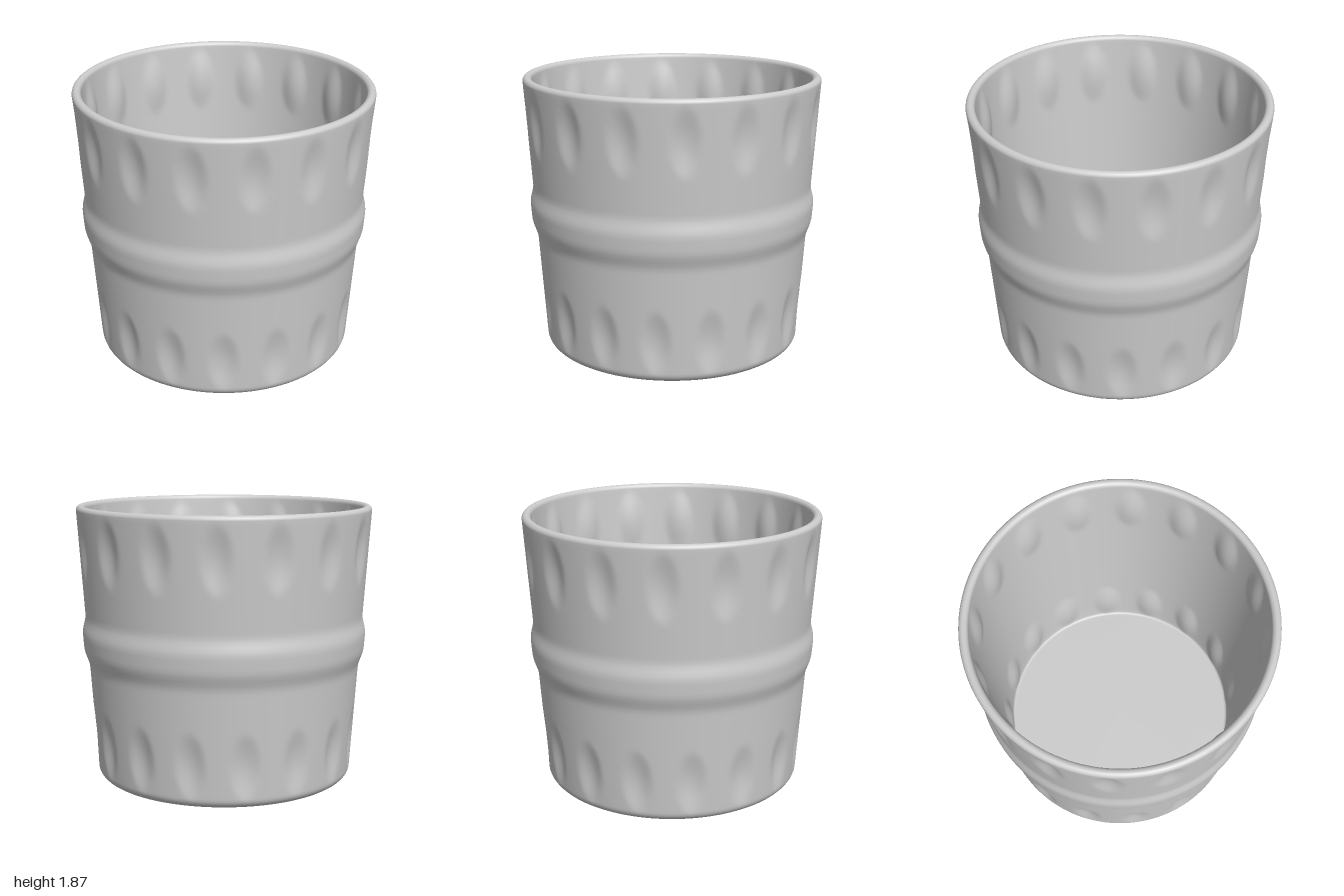
import * as THREE from 'three';
import { mergeVertices } from 'three/addons/utils/BufferGeometryUtils.js';

const HEIGHT = 1.87, WALL = 0.06, FLOOR = 0.06;
const COUNT = 16, STEP = (Math.PI * 2) / COUNT;
const smooth = THREE.MathUtils.smoothstep;

// Two staggered rows of oval dimples
const rows = [
  { y: 1.6, halfHeight: 0.23, start: THREE.MathUtils.degToRad(6) },
  { y: 0.28, halfHeight: 0.23, start: THREE.MathUtils.degToRad(17.25) },
];
const HALF_WIDTH = 0.105, DEPTH = 0.027;

// Tapered wall, and the raised band around its middle
const taper = (y) => 0.877 + 0.066 * y;
const band = (y) => 0.029 * smooth(y, 0.77, 0.91) * (1 - smooth(y, 1.0, 1.13));

function dimple(angle, y, r) {
  let depth = 0;
  for (const row of rows) {
    let a = (angle - row.start) / STEP;
    a = (a - Math.round(a)) * STEP;
    const d = ((a * r) / HALF_WIDTH) ** 2 + ((y - row.y) / row.halfHeight) ** 2;
    if (d < 1) depth += DEPTH * (1 - d) ** 1.5;
  }
  return depth;
}

// Quarter-round of points about a centre
function arc(points, cx, cy, rx, ry, from, to, steps = 7) {
  for (let i = 0; i <= steps; i++) {
    const t = from + ((to - from) * i) / steps;
    points.push(new THREE.Vector2(cx + rx * Math.cos(t), cy + ry * Math.sin(t)));
  }
}

function cupProfile() {
  const p = [new THREE.Vector2(0, 0), new THREE.Vector2(0.6, 0), new THREE.Vector2(0.78, 0)];
  const q = Math.PI / 2;
  // Rounded foot, then the outer wall
  arc(p, taper(0.07) - 0.07, 0.07, 0.07, 0.07, -q, 0);
  const n = 64;
  for (let i = 1; i < n; i++) {
    const y = 0.07 + ((HEIGHT - 0.1) * i) / n;
    p.push(new THREE.Vector2(taper(y) + band(y), y));
  }
  // Rounded lip
  const top = HEIGHT - 0.03, mid = taper(top) - WALL / 2;
  arc(p, mid, top, WALL / 2, 0.03, 0, 2 * q, 12);
  // Inner wall, then the floor with a small fillet
  for (let i = 1; i < n; i++) {
    const y = top - ((top - FLOOR - 0.02) * i) / n;
    p.push(new THREE.Vector2(taper(y) - WALL, y));
  }
  arc(p, taper(FLOOR) - WALL - 0.02, FLOOR + 0.02, 0.02, 0.02, 0, -q, 5);
  p.push(new THREE.Vector2(0.78, FLOOR), new THREE.Vector2(0.6, FLOOR), new THREE.Vector2(0, FLOOR));
  return p;
}

export function createModel() {
  const group = new THREE.Group();
  group.name = 'cup';

  let geometry = new THREE.LatheGeometry(cupProfile(), 256);
  const pos = geometry.attributes.position;
  // Press the dimples through both faces of the wall
  for (let i = 0; i < pos.count; i++) {
    const x = pos.getX(i), y = pos.getY(i), z = pos.getZ(i);
    const r = Math.hypot(x, z);
    if (r < 0.8 || y < 0.065) continue;
    const s = (r - dimple(Math.atan2(x, z), y, r)) / r;
    pos.setXYZ(i, x * s, y, z * s);
  }
  // Weld the seam so the shading is continuous
  geometry.deleteAttribute('uv');
  geometry.deleteAttribute('normal');
  geometry = mergeVertices(geometry, 1e-5);
  geometry.computeVertexNormals();

  const body = new THREE.Mesh(geometry, new THREE.MeshStandardMaterial({ color: 0xcccccc }));
  body.name = 'cupBody';
  group.add(body);
  return group;
}
